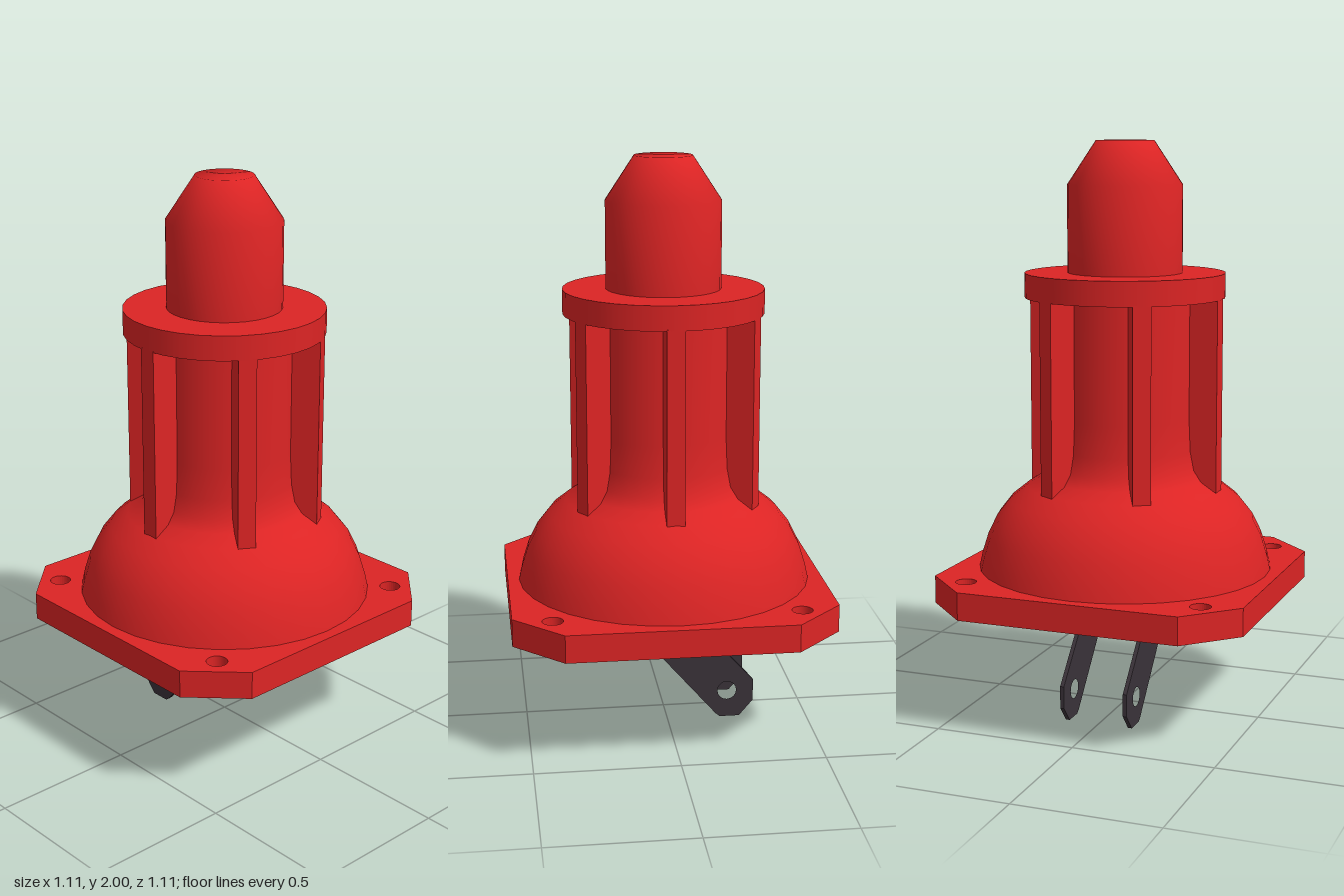
import * as THREE from 'three';

const mat = (name, color) => new THREE.MeshStandardMaterial({ name, color });

export function createModel() {
  const red = mat('red plastic', 0xdc2424);
  const black = mat('black rubber', 0x0e0e0e);
  const grey = mat('dark grey metal', 0x3a3239);
  const brass = mat('brass', 0x8a6a20);
  const model = new THREE.Group();

  const add = (name, geometry, material) => {
    const mesh = new THREE.Mesh(geometry, material);
    mesh.name = name;
    model.add(mesh);
    return mesh;
  };
  const lathe = (points, segments = 32) =>
    new THREE.LatheGeometry(points.map(([r, y]) => new THREE.Vector2(r, y)), segments);
  const cylinder = (r, y0, y1, segments = 32, open = false) =>
    new THREE.CylinderGeometry(r, r, y1 - y0, segments, 1, open).translate(0, (y0 + y1) / 2, 0);
  const polygon = (pts) => new THREE.Shape(pts.map(([x, y]) => new THREE.Vector2(x, y)));
  const hole = (x, y, r) => new THREE.Path().absarc(x, y, r, 0, Math.PI * 2, true);

  // Square mounting flange with cut corners, bolt holes and an open centre
  const s = 0.557, c = 0.39;
  const plate = polygon([[s, -c], [s, c], [c, s], [-c, s], [-s, c], [-s, -c], [-c, -s], [c, -s]]);
  for (const x of [-0.422, 0.422]) for (const y of [-0.422, 0.422]) plate.holes.push(hole(x, y, 0.036));
  plate.holes.push(hole(0, 0, 0.5));
  const flange = new THREE.ExtrudeGeometry(plate, { depth: 0.097, bevelEnabled: false, curveSegments: 16 });
  add('flange', flange.rotateX(-Math.PI / 2).translate(0, 0.415, 0), red);

  // Dome flaring up into the core, and its hollow inside
  add('domeAndCore', lathe([
    [0.517, 0.51], [0.506, 0.56], [0.484, 0.63], [0.452, 0.695], [0.405, 0.755], [0.345, 0.803],
    [0.295, 0.835], [0.268, 0.875], [0.255, 0.94], [0.25, 1.05], [0.25, 1.47],
  ]), red);
  add('domeInside', lathe([
    [0, 0.78], [0.2, 0.78], [0.3, 0.75], [0.375, 0.7], [0.44, 0.62], [0.485, 0.53], [0.5, 0.415],
  ]), red);

  // Six upright ribs around the core
  for (let i = 0; i < 6; i++) {
    const rib = add('rib' + (i + 1), new THREE.BoxGeometry(0.145, 0.69, 0.062).translate(0.2735, 1.125, 0), red);
    rib.rotation.y = i * Math.PI / 3;
  }

  // Collar and tapered push button
  add('collar', cylinder(0.348, 1.465, 1.55), red);
  add('button', lathe([[0.199, 1.54], [0.199, 1.85], [0.1, 2], [0, 2]]), red);

  // Stem and rubber plug under the dome
  add('stem', cylinder(0.042, 0.48, 0.79, 16, true), grey);
  add('plugTop', cylinder(0.186, 0.4, 0.5), black);
  add('plugBottom', lathe([[0, 0.33], [0.16, 0.33], [0.178, 0.345], [0.186, 0.375], [0.186, 0.42]]), black);
  add('brassContact', lathe([[0, 0.308], [0.06, 0.311], [0.1, 0.322], [0.112, 0.335]], 24), brass);

  // Two slanted terminal blades with round holes
  const outline = polygon([
    [0.13, 0.37], [0.1, 0.33], [-0.175, 0.012], [-0.19, 0], [-0.26, 0],
    [-0.31, 0.058], [-0.31, 0.137], [-0.135, 0.33], [-0.11, 0.37],
  ]);
  outline.holes.push(hole(-0.215, 0.1, 0.034));
  for (const [name, x] of [['leftBlade', 0.116], ['rightBlade', -0.116]]) {
    const blade = new THREE.ExtrudeGeometry(outline, { depth: 0.014, bevelEnabled: false, curveSegments: 8 });
    add(name, blade.rotateY(-Math.PI / 2).translate(x + 0.007, 0, 0), grey);
  }
  return model;
}
